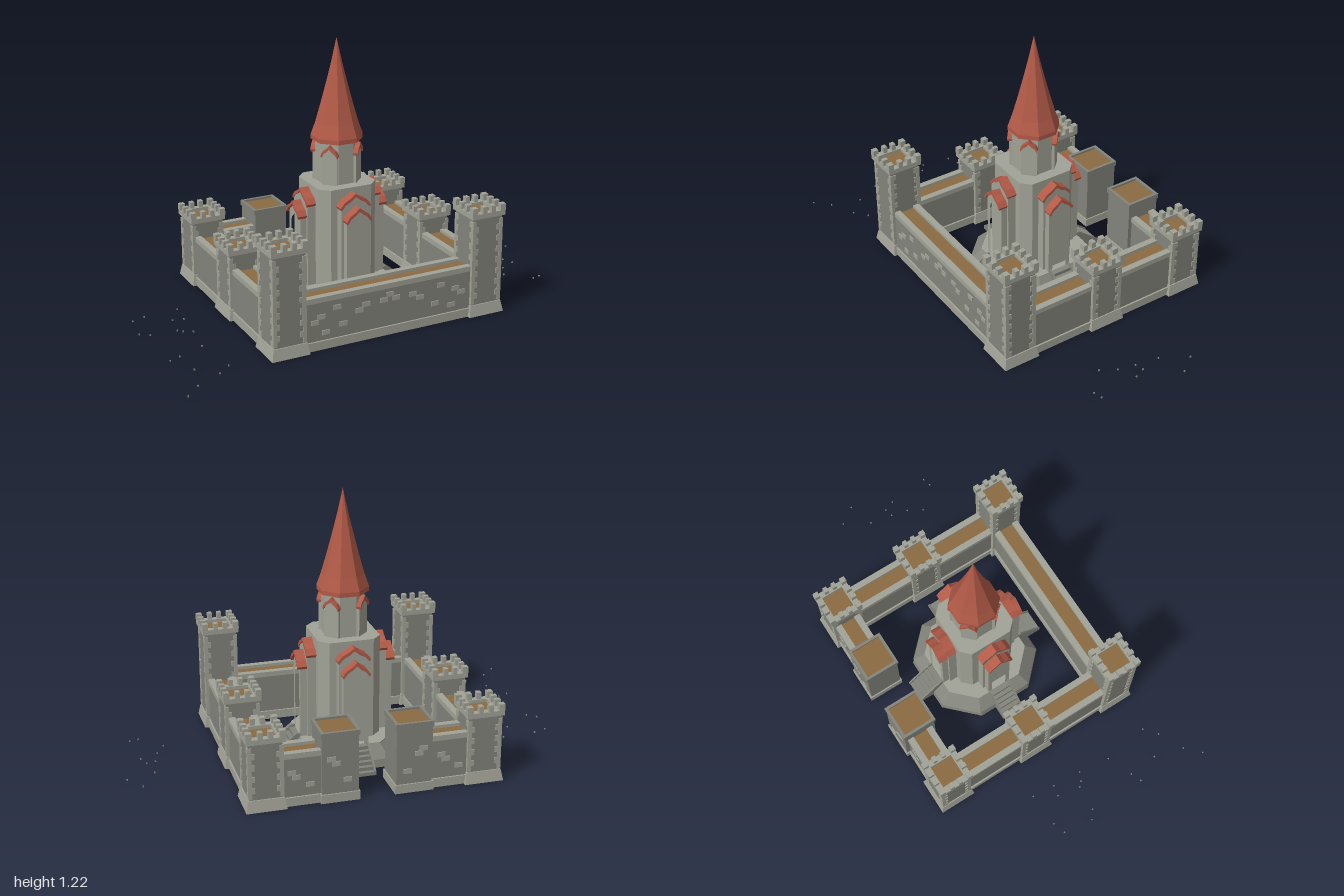
import * as THREE from 'three';

const mat = (color) => new THREE.MeshStandardMaterial({ color, flatShading: true });
const STONE = mat(0x83847b), LIGHT = mat(0xa2a397), RED = mat(0xb25a47), WOOD = mat(0x8a6b42);

function add(parent, name, geometry, material, x = 0, y = 0, z = 0) {
  const m = new THREE.Mesh(geometry, material);
  m.name = name;
  m.position.set(x, y, z);
  parent.add(m);
  return m;
}

function group(parent, name, x = 0, z = 0, turn = 0) {
  const g = new THREE.Group();
  g.name = name;
  g.position.set(x, 0, z);
  g.rotation.y = turn;
  parent.add(g);
  return g;
}

// box given by its centre in x and z and its bottom and top heights
const block = (p, name, m, x, z, w, d, y0, y1) =>
  add(p, name, new THREE.BoxGeometry(w, y1 - y0, d), m, x, (y0 + y1) / 2, z);

// square frustum, r = half width at bottom and top
function flare(p, name, m, r0, r1, y0, y1) {
  const g = new THREE.CylinderGeometry(r1 * Math.SQRT2, r0 * Math.SQRT2, y1 - y0, 4).rotateY(Math.PI / 4);
  return add(p, name, g, m, 0, (y0 + y1) / 2, 0);
}

// square with cut corners; straight = share of each side left uncut
function octagon(p, name, m, r0, r1, y0, y1, straight) {
  const c = Math.cos(Math.PI / 8), k = straight / Math.tan(Math.PI / 8);
  const g = new THREE.CylinderGeometry(r1 / c, r0 / c, y1 - y0, 8).rotateY(Math.PI / 8);
  const v = g.attributes.position;
  for (let i = 0; i < v.count; i++) {
    if (Math.abs(v.getX(i)) < Math.abs(v.getZ(i))) v.setX(i, v.getX(i) * k);
    else v.setZ(i, v.getZ(i) * k);
  }
  return add(p, name, g, m, 0, (y0 + y1) / 2, 0);
}

// raised rim around a square top
function rim(p, m, half, thick, y0, y1) {
  for (const s of [-1, 1]) {
    block(p, 'parapet', m, 0, s * (half - thick / 2), half * 2, thick, y0, y1);
    block(p, 'parapet', m, s * (half - thick / 2), 0, thick, (half - thick) * 2, y0, y1);
  }
}

// square tower with quoins and battlements, h = height of the merlons
function tower(p, x, z, h) {
  const t = group(p, 'tower', x, z);
  flare(t, 'towerBase', LIGHT, 0.088, 0.078, 0, 0.052);
  block(t, 'towerBody', STONE, 0, 0, 0.146, 0.146, 0.045, h - 0.05);
  const n = Math.floor((h - 0.11) / 0.026);
  for (let i = 0; i < n; i++)
    for (const sx of [-1, 1]) for (const sz of [-1, 1]) {
      const a = i % 2 ? 0.03 : 0.017, b = i % 2 ? 0.017 : 0.03;
      const y = 0.057 + i * 0.026;
      block(t, 'quoin', LIGHT, sx * (0.077 - a / 2), sz * (0.077 - b / 2), a, b, y, y + 0.026);
    }
  block(t, 'towerFloor', WOOD, 0, 0, 0.14, 0.14, h - 0.052, h - 0.045);
  rim(t, LIGHT, 0.084, 0.03, h - 0.053, h - 0.03);
  const spots = [-0.072, -0.022, 0.022, 0.072];
  for (const a of spots) for (const b of spots) {
    const ea = Math.abs(a) > 0.05, eb = Math.abs(b) > 0.05;
    if (!ea && !eb) continue;
    block(t, 'merlon', LIGHT, a, b, ea ? 0.026 : 0.02, eb ? 0.026 : 0.02, h - 0.031, h);
  }
}

// wall running along local x, outer face towards local +z
function wall(p, x, z, length, turn) {
  const w = group(p, 'wall', x, z, turn);
  block(w, 'wallBase', LIGHT, 0, 0, length, 0.14, 0, 0.04);
  block(w, 'wallBody', STONE, 0, 0, length, 0.124, 0.04, 0.218);
  block(w, 'walkway', WOOD, 0, 0, length, 0.08, 0.218, 0.226);
  for (const s of [-1, 1]) block(w, 'coping', LIGHT, 0, s * 0.05, length, 0.03, 0.216, 0.24);
  return w;
}

function bricks(p, spots, z, m = LIGHT) {
  for (const [x, y] of spots) block(p, 'brick', m, x, z, 0.036, 0.008, y - 0.011, y + 0.011);
}

// outline of a pointed, slightly curved arch top
const arch = (w, y, h) => [[-w, y], [-w * 0.72, y + h * 0.42], [-w * 0.32, y + h * 0.68], [0, y + h],
  [w * 0.32, y + h * 0.68], [w * 0.72, y + h * 0.42], [w, y]].map(([a, b]) => new THREE.Vector2(a, b));

function extrude(points, depth, hole) {
  const s = new THREE.Shape(points);
  if (hole) s.holes.push(new THREE.Path(hole));
  return new THREE.ExtrudeGeometry(s, { depth, bevelEnabled: false });
}

// gabled bay: stone below, red arched roof strip on top
function bay(p, name, w, y0, y, h, zStart, zStone, zRoof, door) {
  const b = group(p, name);
  const inner = arch(w * 0.9, y - 0.008, h - 0.01);
  const body = [new THREE.Vector2(-w * 0.9, y0), ...inner, new THREE.Vector2(w * 0.9, y0)];
  let hole = null;
  if (door) hole = [new THREE.Vector2(-door, y0 + 0.005), ...arch(door, y - 0.045, 0.045),
    new THREE.Vector2(door, y0 + 0.005)];
  add(b, 'bayStone', extrude(body, zStone - zStart, hole), LIGHT, 0, 0, zStart);
  const strip = [...arch(w, y, h), ...arch(w * 0.92, y - 0.012, h - 0.004).reverse()];
  add(b, 'bayRoof', extrude(strip, zRoof - zStart, null), RED, 0, 0, zStart);
}

function keep(p) {
  const k = group(p, 'keep', 0, -0.057);
  octagon(k, 'plinth', STONE, 0.272, 0.265, 0, 0.035, 0.49);
  octagon(k, 'plinthSlope', STONE, 0.265, 0.215, 0.035, 0.09, 0.52);
  octagon(k, 'plinthTop', LIGHT, 0.215, 0.215, 0.09, 0.095, 0.52);
  octagon(k, 'keepBody', LIGHT, 0.142, 0.142, 0.09, 0.56, 0.71);
  octagon(k, 'upperTower', LIGHT, 0.09, 0.09, 0.55, 0.76, Math.tan(Math.PI / 8));

  for (let i = 0; i < 4; i++) {
    // portals and stairs on the four sides
    const side = group(k, 'keepSide', 0, 0, i * Math.PI / 2);
    bay(side, 'highGable', 0.076, 0.09, 0.485, 0.06, 0.13, 0.182, 0.187);
    bay(side, 'portal', 0.064, 0.09, 0.43, 0.06, 0.18, 0.212, 0.225, 0.037);
    for (let s = 0; s < 6; s++)
      block(side, 'step', STONE, 0, 0.212 + (0.128 - s * 0.02) / 2, 0.095, 0.128 - s * 0.02, s * 0.016, s * 0.016 + 0.016);
    const rail = [[0.212, 0], [0.342, 0], [0.342, 0.02], [0.23, 0.108], [0.212, 0.108]];
    for (const s of [-1, 1]) {
      const g = extrude(rail.map(([a, b]) => new THREE.Vector2(a, b)), 0.008).rotateY(-Math.PI / 2);
      add(side, 'stairRail', g, STONE, s * 0.051 + 0.004, 0, 0);
    }
    // narrow bays on the diagonals of the upper tower
    const corner = group(k, 'cornerBay', 0, 0, Math.PI / 4 + i * Math.PI / 2);
    bay(corner, 'smallGable', 0.04, 0.55, 0.7, 0.045, 0.05, 0.103, 0.112);
  }

  // eight-sided spire with a slight inward sweep
  const profile = [[0.001, 0.752], [0.108, 0.752], [0.108, 0.772], [0.089, 0.83], [0.068, 0.91],
    [0.046, 1.0], [0.023, 1.1], [0, 1.215]];
  const c = Math.cos(Math.PI / 8);
  const pts = profile.map(([r, y]) => new THREE.Vector2(r / c, y));
  add(k, 'spire', new THREE.LatheGeometry(pts, 8, Math.PI / 8), RED);
}

export function createModel() {
  const root = new THREE.Group();
  root.name = 'castle';
  const castle = group(root, 'castleBuildings', -0.005, 0);
  const X = 0.482, FRONT = 0.384, MID = -0.072, BACK = -0.51;

  for (const s of [-1, 1]) {
    tower(castle, s * X, FRONT, 0.515);
    tower(castle, s * X, MID, 0.36);
    tower(castle, s * X, BACK, 0.36);
    wall(castle, s * X, (FRONT + MID) / 2, FRONT - MID - 0.14, s * Math.PI / 2);
    wall(castle, s * X, (MID + BACK) / 2, MID - BACK - 0.14, s * Math.PI / 2);
    const back = wall(castle, s * 0.33, BACK, 0.18, Math.PI);
    bricks(back, [[-0.04, 0.15], [-0.02, 0.128], [0.04, 0.09]], 0.062);

    // plain towers beside the back gateway
    const gate = group(castle, 'gateTower', s * 0.163, BACK);
    block(gate, 'gateBase', LIGHT, 0, 0, 0.172, 0.172, 0, 0.04);
    block(gate, 'gateBody', STONE, 0, 0, 0.16, 0.16, 0.04, 0.305);
    block(gate, 'gateFloor', WOOD, 0, 0, 0.15, 0.15, 0.305, 0.312);
    rim(gate, STONE, 0.085, 0.013, 0.298, 0.322);
    bricks(gate, [[s * 0.04, 0.2], [s * 0.02, 0.178], [-s * 0.03, 0.1]], -0.08);
  }

  // front wall with scattered raised bricks
  const front = wall(castle, 0, FRONT, 0.82, 0);
  bricks(front, [[0, 0.188]], 0.062);
  for (const s of [-1, 1])
    bricks(front, [[0.03, 0.166], [0.115, 0.165], [0.15, 0.143], [0.225, 0.098], [0.255, 0.18],
      [0.31, 0.075], [0.33, 0.15], [0.36, 0.128]].map(([x, y]) => [x * s, y]), 0.062);

  keep(castle);

  // pebbles scattered on the ground to both sides
  const pebbles = [[-0.997, 0.595], [-0.96, -0.17], [-0.9, -0.19], [-0.8, -0.1], [-0.75, -0.09], [-0.74, -0.2],
    [-0.98, -0.03], [-0.94, 0], [-0.82, 0.01], [-0.8, 0.03], [-0.76, 0.05], [-0.78, 0.2], [-0.9, 0.25],
    [-0.95, 0.27], [-0.89, 0.39], [-0.75, 0.42], [-0.81, 0.47], [-0.93, 0.53], [0.94, -0.24], [0.87, -0.12],
    [0.997, -0.16], [0.89, -0.02], [0.91, 0.03], [0.83, 0.07], [0.79, 0.14], [0.85, -0.01], [0.89, 0.24], [0.93, 0.23]];
  const stones = group(root, 'pebbles');
  for (const [x, z] of pebbles) block(stones, 'pebble', STONE, x, z, 0.006, 0.006, 0.004, 0.01);
  return root;
}
